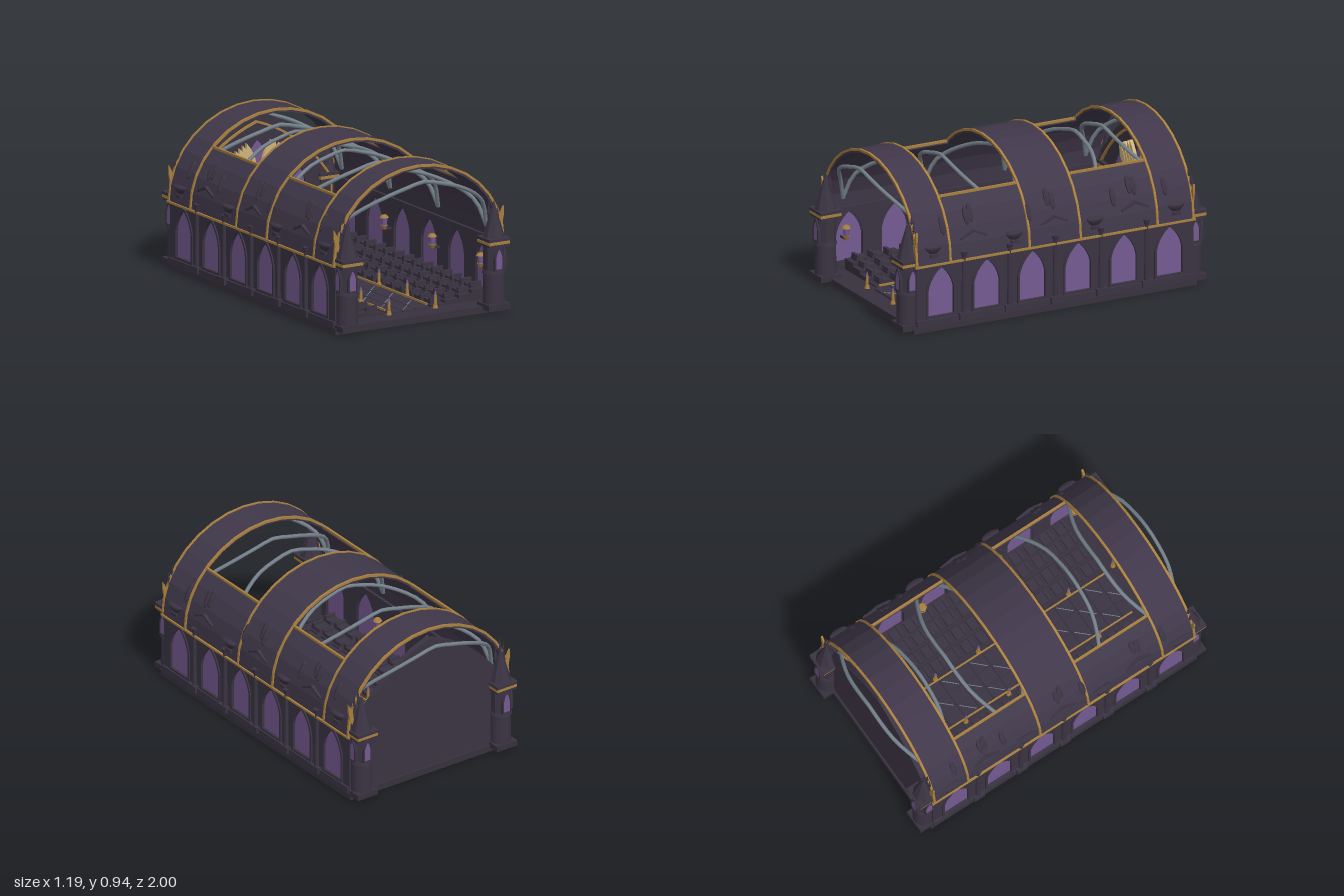
import * as THREE from 'three';

const mat = (name, color) => Object.assign(new THREE.MeshStandardMaterial({ color }), { name });
const stone = mat('dark stone', 0x3b3443), roofMat = mat('roof slate', 0x40384a), base = mat('base stone', 0x38313e);
const glass = mat('violet glass', 0x745a92), gold = mat('gold trim', 0xa87f3e), pale = mat('pale gold', 0xd0b47c);
const steel = mat('rib steel', 0x75818b);

function add(parent, name, geo, material, x = 0, y = 0, z = 0) {
  const m = new THREE.Mesh(geo, material);
  m.name = name;
  m.position.set(x, y, z);
  parent.add(m);
  return m;
}
const box = (w, h, d) => new THREE.BoxGeometry(w, h, d);
const cyl = (rt, rb, h, n = 12) => new THREE.CylinderGeometry(rt, rb, h, n);
const facet = (geo) => { const g = geo.toNonIndexed(); g.computeVertexNormals(); return g; };
const extrude = (shape, depth, curveSegments = 6) =>
  new THREE.ExtrudeGeometry(shape, { depth, bevelEnabled: false, curveSegments }).translate(0, 0, -depth / 2);

// Pointed arch outline centred on cx
function arch(w, y0, spring, top, cx = 0, P = THREE.Shape) {
  const s = new P();
  s.moveTo(cx - w, y0);
  s.lineTo(cx + w, y0);
  s.lineTo(cx + w, spring);
  s.quadraticCurveTo(cx + w * 0.85, spring + (top - spring) * 0.6, cx, top);
  s.quadraticCurveTo(cx - w * 0.85, spring + (top - spring) * 0.6, cx - w, spring);
  s.lineTo(cx - w, y0);
  return s;
}
function archFrame(w, y0, spring, top, t) {
  const s = arch(w + t, y0 - t, spring, top + t * 1.4);
  s.holes.push(arch(w, y0, spring, top, 0, THREE.Path));
  return s;
}

// Slice of the elliptical vault between two angles
const VA = 0.575, VB = 0.52, VY = 0.41;
function vault(t0, t1, n, out, inn) {
  const pts = [];
  const at = (t, o) => new THREE.Vector2(Math.cos(t) * (VA + o), VY + Math.sin(t) * (VB + o));
  for (let i = 0; i <= n; i++) pts.push(at(t0 + (t1 - t0) * i / n, out));
  for (let i = n; i >= 0; i--) pts.push(at(t0 + (t1 - t0) * i / n, inn));
  return new THREE.Shape(pts);
}

// Leaf-shaped blade from a root to a tip
function blade(x0, y0, x1, y1, w) {
  const dx = x1 - x0, dy = y1 - y0, l = Math.hypot(dx, dy), nx = -dy / l * w, ny = dx / l * w;
  const s = new THREE.Shape();
  s.moveTo(x0, y0);
  s.quadraticCurveTo(x0 + dx * 0.45 - nx * 2, y0 + dy * 0.45 - ny * 2, x1, y1);
  s.quadraticCurveTo(x0 + dx * 0.45 + nx * 2, y0 + dy * 0.45 + ny * 2, x0, y0);
  return s;
}

function buildRoof(g) {
  const cut = 0.738;
  for (const [z0, z1] of [[0.69, 0.91], [-0.165, 0.17], [-0.905, -0.67]]) {
    add(g, 'roofBand', extrude(vault(0, Math.PI, 16, 0, -0.02), z1 - z0), roofMat, 0, 0, (z0 + z1) / 2);
    for (const z of [z0, z1]) add(g, 'bandTrim', extrude(vault(0, Math.PI, 16, 0.006, -0.008), 0.014), gold, 0, 0, z);
  }
  for (const [z0, z1] of [[0.17, 0.69], [-0.67, -0.165]]) for (const s of [1, -1]) {
    const zc = (z0 + z1) / 2, a = s > 0 ? 0 : Math.PI - cut;
    add(g, 'lowerRoof', extrude(vault(a, a + cut, 4, -0.003, -0.02), z1 - z0), roofMat, 0, 0, zc);
    add(g, 'openingTrim', box(0.014, 0.014, z1 - z0), gold, s * 0.421, 0.76, zc);
  }
  // Leaning ribs crossing above each support
  for (const z0 of [0.797, 0.265, -0.265, -0.797]) for (const lean of [1, -1]) {
    const pts = [0.53, 0.485, 0.42, 0.25, 0.11, 0].map((x, i) => new THREE.Vector3(
      x, [0.48, 0.62, 0.69, 0.782, 0.825, 0.848][i], z0 + lean * 0.175 * (1 - Math.pow(x / 0.53, 3))));
    const all = pts.concat(pts.slice(0, 5).reverse().map((p) => new THREE.Vector3(-p.x, p.y, p.z)));
    add(g, 'vaultRib', new THREE.TubeGeometry(new THREE.CatmullRomCurve3(all), 24, 0.012, 6), steel);
  }
}

function buildSides(g) {
  const zs = [-0.75, -0.45, -0.15, 0.15, 0.45, 0.75];
  const outline = new THREE.Shape([[-0.91, 0.03], [0.91, 0.03], [0.91, 0.42], [-0.91, 0.42]].map((p) => new THREE.Vector2(...p)));
  for (const z of zs) outline.holes.push(arch(0.088, 0.09, 0.25, 0.395, z, THREE.Path));
  const bowl = new THREE.LatheGeometry([[0.001, 0], [0.025, 0.005], [0.05, 0.03], [0.06, 0.05], [0.001, 0.05]].map((p) => new THREE.Vector2(...p)), 10);
  for (const s of [1, -1]) {
    add(g, 'sideWall', extrude(outline, 0.03).rotateY(Math.PI / 2), stone, s * 0.552);
    add(g, 'wallPlinth', box(0.02, 0.04, 1.82), stone, s * 0.57, 0.055, 0);
    add(g, 'eavesTrim', box(0.014, 0.012, 1.84), gold, s * 0.577, 0.405, 0);
    for (const z of zs) {
      add(g, 'sideGlass', extrude(arch(0.09, 0.088, 0.25, 0.397), 0.009).rotateY(Math.PI / 2), glass, s * 0.556, 0, z);
      add(g, 'sideWindowFrame', extrude(archFrame(0.083, 0.093, 0.25, 0.385, 0.014), 0.03).rotateY(Math.PI / 2), stone, s * 0.561, 0, z);
    }
    // Buttress columns between the windows
    for (const z of [-0.6, -0.3, 0, 0.3, 0.6]) {
      add(g, 'columnFoot', box(0.05, 0.04, 0.07), stone, s * 0.57, 0.065, z);
      add(g, 'column', cyl(0.012, 0.016, 0.35, 8), stone, s * 0.573, 0.25, z);
      add(g, 'columnCap', cyl(0.022, 0.014, 0.03, 8), stone, s * 0.572, 0.44, z);
    }
    // Brackets under the rib feet
    for (const z of [0.797, 0.265, -0.265, -0.797]) {
      add(g, 'ribBowl', bowl, stone, s * 0.567, 0.47, z).scale.x = 0.42;
      add(g, 'ribBowlFoot', box(0.03, 0.02, 0.05), stone, s * 0.567, 0.46, z);
      const lamp = new THREE.Group();
      lamp.name = 'wallLantern';
      lamp.position.set(s * 0.49, 0.25, z);
      add(lamp, 'lanternBase', cyl(0.022, 0.01, 0.025, 8), gold);
      add(lamp, 'lanternGlow', cyl(0.02, 0.016, 0.045, 8), glass, 0, 0.035);
      add(lamp, 'lanternTop', cyl(0.018, 0.028, 0.015, 8), gold, 0, 0.065);
      add(lamp, 'lanternArm', box(0.07, 0.012, 0.012), stone, s * 0.035, -0.01);
      g.add(lamp);
    }
    // Carved leaves and gables lying on the roof flanks
    const leaf = facet(new THREE.SphereGeometry(1, 6, 4));
    for (const [z, y] of [[0.72, 0.62], [0.555, 0.65], [0.525, 0.66], [0.155, 0.61], [0.02, 0.67], [-0.01, 0.65], [-0.4, 0.61], [-0.515, 0.66], [-0.545, 0.65], [-0.74, 0.62]]) {
      const t = Math.asin((y - VY) / VB);
      const m = add(g, 'roofLeaf', leaf, stone, s * (Math.cos(t) * VA), y, z);
      m.scale.set(0.014, 0.06, 0.02);
      m.rotation.z = s * 0.45;
    }
    for (const z of [0.53, 0, -0.53]) for (const k of [1, -1]) {
      const m = add(g, 'roofGable', box(0.025, 0.012, 0.1), stone, s * 0.553, 0.547, z + k * 0.042);
      m.rotation.x = k * 0.42;
    }
  }
}

function buildTower(s, f) {
  const t = new THREE.Group();
  t.name = 'cornerTower';
  t.position.set(s * 0.497, 0, f * 0.93);
  add(t, 'towerFoot', box(0.145, 0.035, 0.135), base, 0, 0.04);
  add(t, 'towerDrum', cyl(0.062, 0.064, 0.19, 16), stone, 0, 0.15);
  add(t, 'towerRing', cyl(0.064, 0.068, 0.02, 16), stone, 0, 0.245);
  add(t, 'towerBody', facet(cyl(0.062, 0.062, 0.16, 8).rotateY(Math.PI / 8)), stone, 0, 0.33);
  add(t, 'towerCornice', box(0.135, 0.014, 0.13), stone, 0, 0.405);
  add(t, 'towerGoldBand', box(0.14, 0.016, 0.135), gold, 0, 0.42);
  add(t, 'towerEaves', box(0.145, 0.018, 0.14), stone, 0, 0.44);
  add(t, 'towerSpire', facet(cyl(0.004, 0.066, 0.21, 8).rotateY(Math.PI / 8)), stone, 0, 0.55);
  for (const [x, h, y] of [[0.01, 0.1, 0.66], [0.035, 0.12, 0.62], [-0.02, 0.08, 0.62]])
    add(t, 'spireThorn', cyl(0.001, 0.014, h, 5), stone, s * x, y, -f * 0.02);
  // Narrow windows on the two outward faces
  for (const [x, z, r] of [[0, f * 0.058, 0], [s * 0.058, 0, Math.PI / 2]]) {
    add(t, 'towerGlass', extrude(arch(0.022, 0.265, 0.33, 0.385), 0.009).rotateY(r), glass, x, 0, z);
    add(t, 'towerWindowFrame', extrude(archFrame(0.022, 0.265, 0.33, 0.385, 0.009), 0.018).rotateY(r), stone, x, 0, z);
  }
  for (const [x, y] of [[0.078, 0.62], [0.07, 0.57]])
    add(t, 'towerWing', extrude(blade(s * 0.045, 0.48, s * x, y, 0.014), 0.012), gold, 0, 0, -f * 0.02);
  return t;
}

function buildBackWall(g) {
  const gable = (w, spring, cx, cy, top, P = THREE.Shape) => {
    const s = new P();
    s.moveTo(-w, 0.03);
    s.lineTo(w, 0.03);
    s.lineTo(w, spring);
    s.quadraticCurveTo(cx, cy, 0, top);
    s.quadraticCurveTo(-cx, cy, -w, spring);
    s.lineTo(-w, 0.03);
    return s;
  };
  add(g, 'backWall', extrude(gable(0.53, 0.45, 0.32, 0.775, 0.875), 0.035, 10), stone, 0, 0, -0.9);
  const trim = gable(0.512, 0.42, 0.32, 0.715, 0.82);
  trim.holes.push(gable(0.5, 0.415, 0.315, 0.7, 0.806, THREE.Path));
  add(g, 'backArchTrim', extrude(trim, 0.014, 10), gold, 0, 0, -0.877);
  for (const [x, top] of [[-0.228, 0.6], [0, 0.71], [0.228, 0.6]]) {
    add(g, 'backGlass', extrude(arch(0.1, 0.19, top - 0.2, top), 0.008), glass, x, 0, -0.88);
    add(g, 'backWindowFrame', extrude(archFrame(0.098, 0.192, top - 0.2, top - 0.002, 0.011), 0.02), stone, x, 0, -0.876);
  }
  // Fanned feather ornament
  for (const s of [1, -1]) for (let i = 0; i < 5; i++) {
    const b = blade(s * (0.02 + i * 0.026), 0.505 + i * 0.004, s * (0.085 + i * 0.026), 0.7 - i * 0.012, 0.024);
    add(g, 'featherOrnament', extrude(b, 0.02), pale, 0, 0, -0.855 + i * 0.003);
  }
}

function buildInterior(g) {
  add(g, 'baseSlab', box(1.15, 0.04, 1.86), base, 0, 0.02, 0);
  for (const s of [1, -1]) {
    // Rising seating tiers
    [[0.215, 0.05], [0.31, 0.065], [0.405, 0.085], [0.49, 0.105]].forEach(([x, top], c) => {
      add(g, 'tier', box(0.1, top - 0.04, 1.6), base, s * x, (top + 0.04) / 2, -0.02);
      for (let i = 0; i < 15; i++) {
        const z = -0.76 + i * 0.105;
        add(g, 'seatBlock', box(0.07, 0.02, 0.075), stone, s * x, top + 0.01, z);
        add(g, 'seatBack', box(0.07, 0.018, 0.02), stone, s * x, top + 0.027, z + 0.025);
      }
    });
    add(g, 'aisleRail', box(0.008, 0.012, 1.5), gold, s * 0.142, 0.058, 0.02);
    for (const z of [0.84, 0.53, 0.22, -0.1, -0.4]) {
      add(g, 'postFoot', cyl(0.012, 0.016, 0.02, 8), gold, s * 0.157, 0.058, z);
      add(g, 'post', cyl(0.008, 0.01, 0.07, 8), gold, s * 0.157, 0.09, z);
      add(g, 'postFlame', cyl(0.002, 0.009, 0.025, 6), glass, s * 0.157, 0.138, z);
    }
  }
  // Aisle tiles with thin diagonal inlay
  for (let i = 0; i < 16; i++) for (let c = -1; c <= 1; c++) {
    const z = -0.74 + i * 0.1;
    add(g, 'aisleTile', box(0.085, 0.01, 0.092), stone, c * 0.09, 0.045, z);
    if ((i + c + 1) % 2 === 0) add(g, 'tileInlay', box(0.1, 0.003, 0.004), steel, c * 0.09, 0.052, z).rotation.y = 0.8;
  }
}

export function createModel() {
  const g = new THREE.Group();
  g.name = 'vaultedHall';
  buildInterior(g);
  buildSides(g);
  buildRoof(g);
  buildBackWall(g);
  for (const s of [1, -1]) for (const f of [1, -1]) g.add(buildTower(s, f));
  return g;
}
